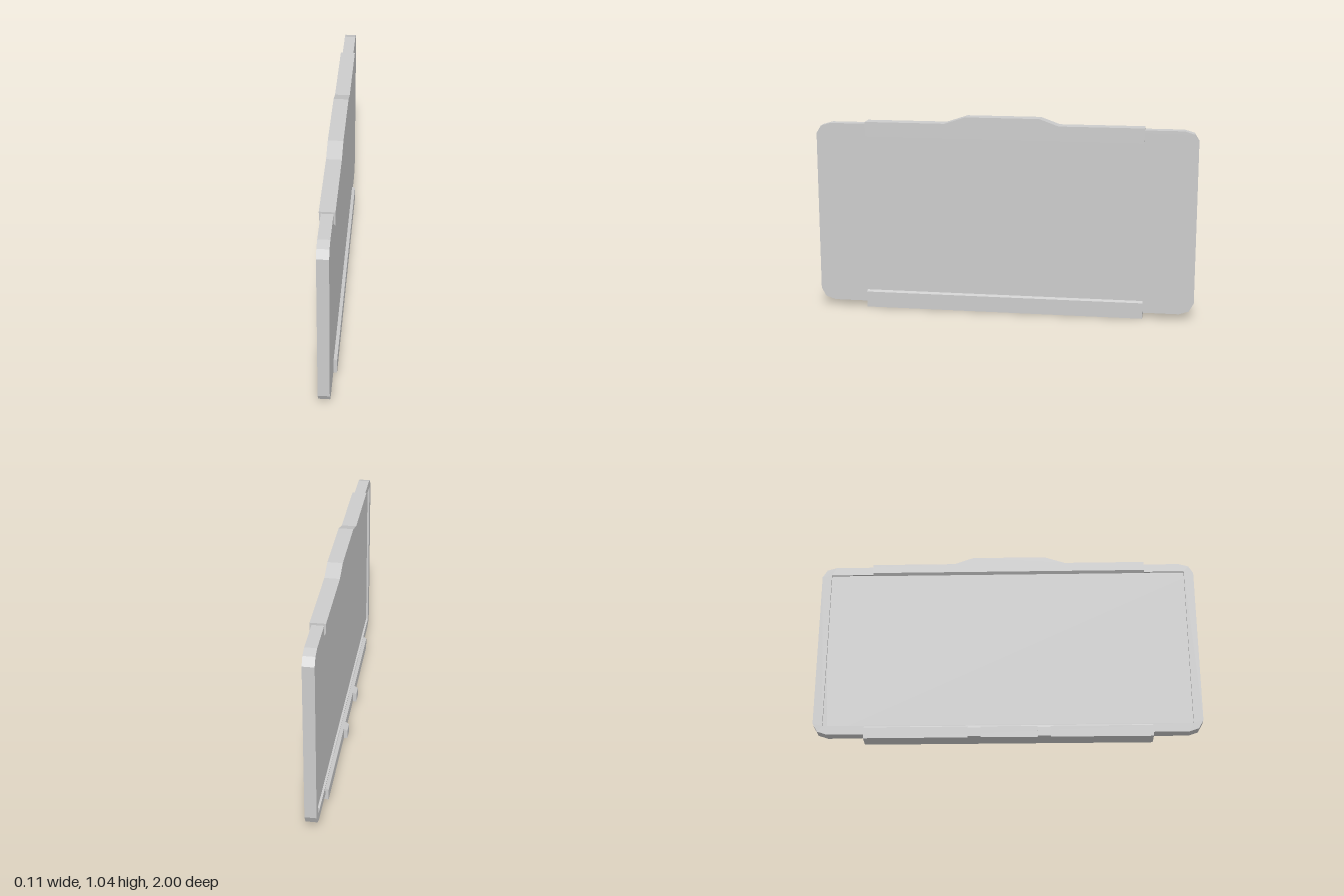
import * as THREE from 'three';

const grey = new THREE.MeshStandardMaterial({ color: 0xcccccc, flatShading: true });

const toShape = (pts) => new THREE.Shape(pts.map(([u, v]) => new THREE.Vector2(u, v)));

function mesh(name, geometry) {
  const m = new THREE.Mesh(geometry, grey);
  m.name = name;
  return m;
}

// Extrudes a (z, y) outline across x from x0 to x1
function acrossX(name, shape, x0, x1) {
  const g = new THREE.ExtrudeGeometry(shape, { depth: x1 - x0, bevelEnabled: false });
  g.rotateY(-Math.PI / 2).translate(x1, 0, 0);
  return mesh(name, g);
}

// Extrudes an (x, y) profile along z from z0 to z1
function alongZ(name, pts, z0, z1) {
  const g = new THREE.ExtrudeGeometry(toShape(pts), { depth: z1 - z0, bevelEnabled: false });
  g.translate(0, 0, z0);
  return mesh(name, g);
}

// Panel outline with two-step faceted corners
const panelOutline = [
  [-1, 0.09], [-0.975, 0.045], [-0.925, 0.028], [0.925, 0.028], [0.975, 0.045], [1, 0.09],
  [1, 0.94], [0.975, 0.98], [0.925, 0.995], [-0.925, 0.995], [-0.975, 0.98], [-1, 0.94],
];

export function createModel() {
  const model = new THREE.Group();
  model.name = 'wallPanel';

  // Panel body, whose inner face is the recessed screen
  model.add(acrossX('panelBody', toShape(panelOutline), -0.01, 0.038));

  // Raised rim around the recess
  const rim = toShape(panelOutline);
  rim.holes.push(new THREE.Path([[-0.95, 0.075], [-0.95, 0.95], [0.95, 0.95], [0.95, 0.075]]
    .map(([u, v]) => new THREE.Vector2(u, v))));
  model.add(acrossX('screenRim', rim, -0.021, -0.01));

  // Top clip: two lips gripping the panel and a cap with a raised middle
  const topClip = new THREE.Group();
  topClip.name = 'topClip';
  topClip.add(
    alongZ('topClipScreenLip', [[-0.03, 0.957], [-0.021, 0.943], [-0.021, 0.995], [-0.03, 0.995]], -0.725, 0.735),
    alongZ('topClipBackLip', [[0.038, 0.94], [0.047, 0.93], [0.047, 0.995], [0.038, 0.995]], -0.725, 0.735),
    acrossX('topClipCap', toShape([
      [-0.725, 0.995], [0.735, 0.995], [0.735, 1.006], [0.31, 1.006],
      [0.2, 1.042], [-0.185, 1.042], [-0.285, 1.006], [-0.725, 1.006],
    ]), -0.03, 0.047),
  );
  model.add(topClip);

  // Bottom tray holding the panel's lower edge
  model.add(alongZ('bottomTray', [
    [-0.038, 0], [0.055, 0], [0.055, 0.084], [0.038, 0.092],
    [0.038, 0.028], [-0.021, 0.028], [-0.021, 0.07], [-0.038, 0.059],
  ], -0.735, 0.743));

  // Small tabs on the screen side of the tray
  for (const z of [-0.168, 0.188]) {
    model.add(alongZ('trayTab', [[-0.057, 0], [-0.038, 0], [-0.038, 0.059], [-0.057, 0.046]], z - 0.033, z + 0.033));
  }

  return model;
}
